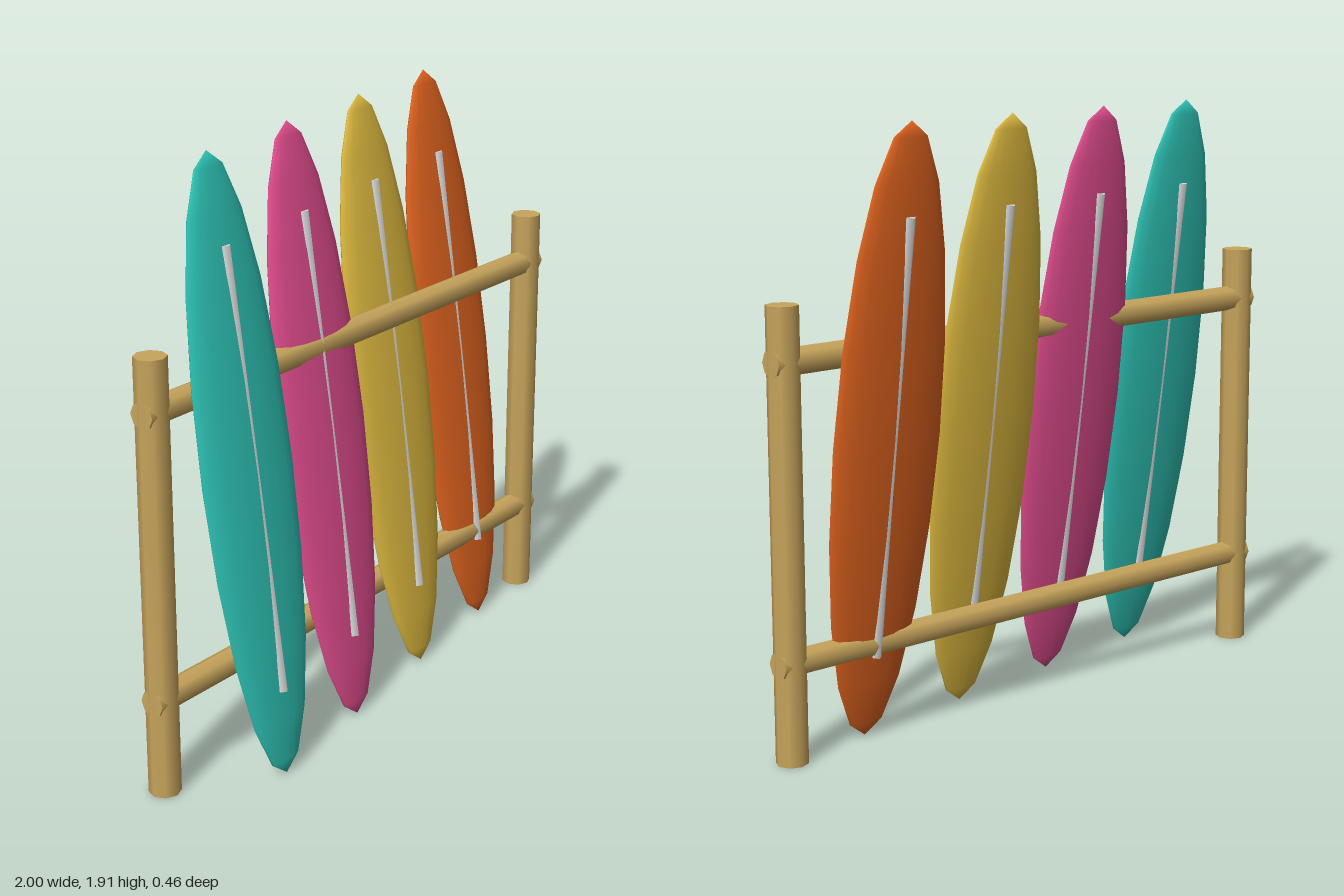
import * as THREE from 'three';

const mat = (name, color) => {
  const m = new THREE.MeshStandardMaterial({ color });
  m.name = name;
  return m;
};

export function createModel() {
  const root = new THREE.Group();
  root.name = 'surfboardRack';

  const wood = mat('wood', 0xc8a55c);
  const silver = mat('silver', 0xd8d8d8);
  const boardMats = [
    mat('teal', 0x2ec4b6), mat('pink', 0xe34d8f),
    mat('yellow', 0xe0bb40), mat('orange', 0xe2641f),
  ];

  const add = (parent, name, geometry, material) => {
    const mesh = new THREE.Mesh(geometry, material);
    mesh.name = name;
    parent.add(mesh);
    return mesh;
  };

  // Upright posts
  const postGeo = new THREE.CylinderGeometry(0.05, 0.05, 1.385, 8);
  for (const side of [-1, 1]) {
    add(root, side > 0 ? 'leftPost' : 'rightPost', postGeo, wood)
      .position.set(side * 0.95, 0.698, 0);
  }

  // Cross rails, ends just breaking through the posts
  const railGeo = new THREE.CylinderGeometry(0.042, 0.042, 1.988, 8).rotateZ(Math.PI / 2);
  for (const [name, y] of [['lowerRail', 0.315], ['upperRail', 1.222]]) {
    add(root, name, railGeo, wood).position.y = y;
  }

  // Leaning boards, each with a stringer running through it
  const boardGeo = new THREE.SphereGeometry(1, 16, 10).scale(0.2, 0.962, 0.042);
  const stringerGeo = new THREE.CylinderGeometry(0.022, 0.022, 1.375, 8).scale(1, 1, 2.05);
  boardMats.forEach((material, i) => {
    const board = new THREE.Group();
    board.name = `${material.name}Board`;
    board.position.set(-0.645 + i * 0.43, 0.96, 0.09 - i * 0.06);
    board.rotation.x = -0.14;
    add(board, 'deck', boardGeo, material);
    add(board, 'stringer', stringerGeo, silver);
    root.add(board);
  });

  return root;
}
